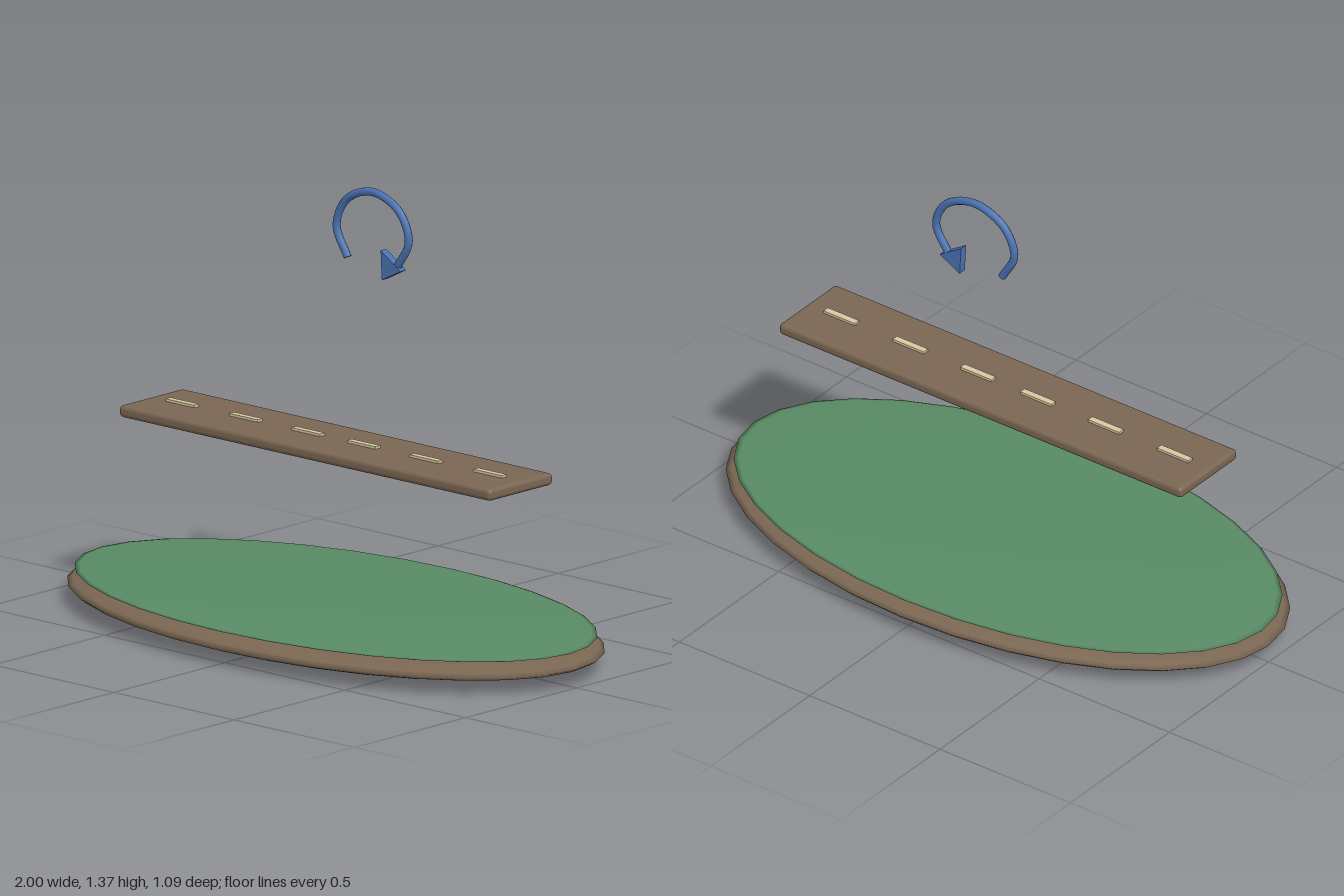
import * as THREE from 'three';
import { RoundedBoxGeometry } from 'three/addons/geometries/RoundedBoxGeometry.js';

const paint = (color) => new THREE.MeshStandardMaterial({ color });

export function createModel() {
  const group = new THREE.Group();
  const brown = paint(0x7a6652);
  const green = paint(0x588a64);
  const cream = paint(0xd8c8a0);
  const blue = paint(0x4a72b0);

  function add(name, geometry, material, x = 0, y = 0, z = 0) {
    const mesh = new THREE.Mesh(geometry, material);
    mesh.name = name;
    mesh.position.set(x, y, z);
    group.add(mesh);
    return mesh;
  }

  // Flattened earth disc with a thinner grass disc on top
  const ball = new THREE.SphereGeometry(1, 32, 16);
  add('earthBase', ball, brown, 0, 0.06, 0).scale.set(1, 0.058, 0.547);
  add('grassTop', ball, green, 0, 0.105, 0).scale.set(0.975, 0.017, 0.525);

  // Floating road slab with centre-line dashes
  add('roadSlab', new RoundedBoxGeometry(1.545, 0.038, 0.288, 3, 0.014), brown, 0, 0.594, 0);
  const dash = new THREE.BoxGeometry(0.119, 0.008, 0.022);
  for (const side of [-1, 1]) {
    for (const x of [0.115, 0.375, 0.64]) {
      add('laneDash', dash, cream, side * x, 0.617, 0);
    }
  }

  // Open loop of the turning arrow
  const loop = new THREE.CatmullRomCurve3([
    [-0.104, 1.138], [-0.15, 1.23], [-0.11, 1.318], [0, 1.361],
    [0.11, 1.318], [0.15, 1.23], [0.1, 1.138],
  ].map(([x, y]) => new THREE.Vector3(x, y, 0)));
  add('arrowLoop', new THREE.TubeGeometry(loop, 48, 0.0125, 10), blue, 0, 0, -0.165);

  // End caps close the tube
  for (const t of [0, 1]) {
    const cap = add('arrowLoopCap', new THREE.CircleGeometry(0.0125, 10), blue);
    const outward = loop.getTangent(t).multiplyScalar(t ? 1 : -1);
    cap.position.copy(loop.getPoint(t)).setZ(-0.165);
    cap.quaternion.setFromUnitVectors(new THREE.Vector3(0, 0, 1), outward);
  }

  // Flat triangular arrowhead
  const head = new THREE.Shape([
    new THREE.Vector2(0.045, 1.187),
    new THREE.Vector2(0.05, 1.094),
    new THREE.Vector2(0.127, 1.134),
  ]);
  add('arrowHead', new THREE.ExtrudeGeometry(head, { depth: 0.026, bevelEnabled: false }), blue, 0, 0, -0.178);

  return group;
}
